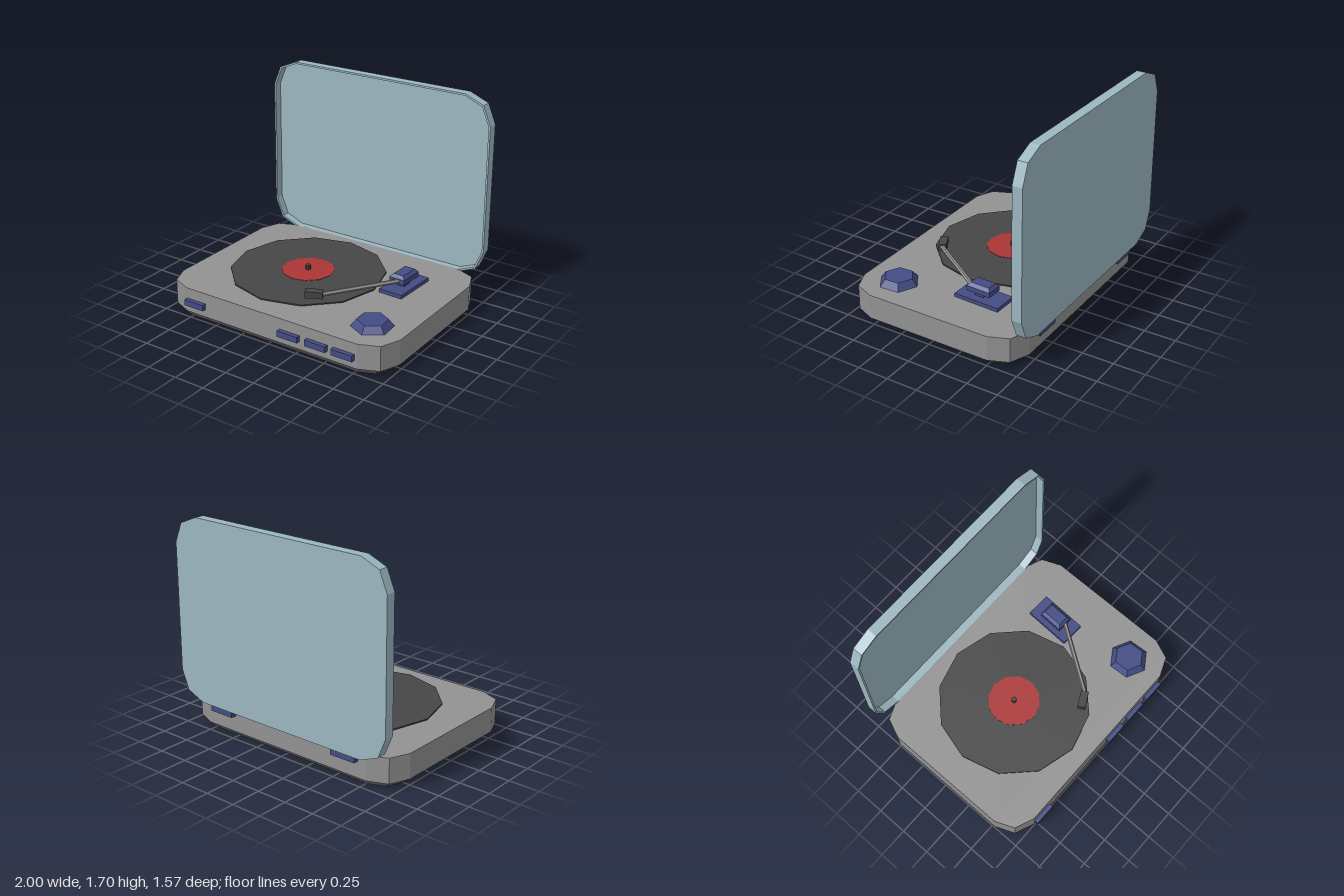
import * as THREE from 'three';

const mat = (name, color) => {
  const m = new THREE.MeshStandardMaterial({ color, flatShading: true });
  m.name = name;
  return m;
};

// Rectangle outline with two-facet corners
function outline(w, h, r) {
  const pts = [];
  const centres = [[1, 1], [-1, 1], [-1, -1], [1, -1]];
  centres.forEach(([sx, sy], i) => {
    for (let k = 0; k <= 2; k++) {
      const a = (i + k / 2) * Math.PI / 2;
      pts.push(new THREE.Vector2(sx * (w / 2 - r) + r * Math.cos(a), sy * (h / 2 - r) + r * Math.sin(a)));
    }
  });
  return pts;
}

const extrude = (shape, depth) => new THREE.ExtrudeGeometry(shape, { depth, bevelEnabled: false });

export function createModel() {
  const grey = mat('grey casing', 0x929292);
  const dark = mat('dark plastic', 0x464646);
  const blue = mat('blue controls', 0x434c84);
  const red = mat('red label', 0xab3535);
  const glass = mat('pale blue lid', 0x9cb7c1);

  const model = new THREE.Group();
  model.name = 'recordPlayer';
  const add = (name, geo, material, x, y, z, parent = model) => {
    const mesh = new THREE.Mesh(geo, material);
    mesh.name = name;
    mesh.position.set(x, y, z);
    parent.add(mesh);
    return mesh;
  };
  const box = (w, h, d) => new THREE.BoxGeometry(w, h, d);

  // Casing and the inset foot below it
  const slab = (w, d, r, h) => extrude(new THREE.Shape(outline(w, d, r)), h).rotateX(-Math.PI / 2);
  add('casing', slab(2, 1.47, 0.22, 0.2), grey, 0, 0.045, 0.015);
  add('foot', slab(1.89, 1.39, 0.18, 0.045), dark, 0, 0, 0.02);

  // Open lid: a back panel with a thin wall around it
  const lid = new THREE.Group();
  lid.name = 'lid';
  lid.position.set(0, 0.9625, -0.785);
  model.add(lid);
  const rim = new THREE.Shape(outline(2, 1.465, 0.22));
  rim.holes.push(new THREE.Path(outline(1.97, 1.435, 0.21)));
  add('lidWall', extrude(rim, 0.065), glass, 0, 0, 0.015, lid);
  add('lidPanel', extrude(new THREE.Shape(outline(2, 1.465, 0.22)), 0.015), glass, 0, 0, 0, lid);

  // Hinges
  for (const s of [-1, 1]) add('hinge', box(0.22, 0.05, 0.05), blue, s * 0.6, 0.202, -0.742);

  // Front buttons
  for (const x of [-0.685, 0.195, 0.44, 0.67]) add('button', box(0.18, 0.048, 0.04), blue, x, 0.134, 0.765);

  // Record, label and spindle
  const disc = (rTop, rBottom, h, n) => new THREE.CylinderGeometry(rTop, rBottom, h, n);
  add('record', disc(0.615, 0.615, 0.01, 12), dark, -0.165, 0.267, 0);
  add('label', disc(0.21, 0.21, 0.004, 12), red, -0.165, 0.273, 0);
  add('spindle', disc(0.021, 0.021, 0.068, 8), dark, -0.165, 0.278, 0);

  // Volume knob
  add('knob', disc(0.118, 0.16, 0.055, 6), blue, 0.725, 0.2725, 0.462).rotation.y = 0.064;

  // Tonearm mount: plate, neck and a head with a chamfered top
  const mount = new THREE.Group();
  mount.name = 'tonearmMount';
  mount.position.set(0.587, 0, -0.21);
  mount.rotation.y = -0.04;
  model.add(mount);
  add('mountPlate', box(0.2, 0.03, 0.385), blue, 0, 0.26, 0, mount);
  add('mountNeck', box(0.07, 0.05, 0.075), blue, 0, 0.295, 0.016, mount);
  add('mountHead', box(0.133, 0.04, 0.203), blue, 0, 0.334, 0.004, mount);
  const cap = box(0.133, 0.025, 0.203);
  const p = cap.attributes.position;
  for (let i = 0; i < p.count; i++) {
    if (p.getY(i) > 0) p.setXYZ(i, p.getX(i) * 0.64, p.getY(i), p.getZ(i) * 0.8);
  }
  add('mountCap', cap, blue, 0, 0.3665, 0.004, mount);

  // Tonearm and its headshell
  const from = new THREE.Vector3(0.6, 0.334, -0.12);
  const to = new THREE.Vector3(0.235, 0.334, 0.41);
  const mid = from.clone().lerp(to, 0.5);
  const arm = add('tonearm', disc(0.018, 0.018, from.distanceTo(to), 6), grey, mid.x, mid.y, mid.z);
  arm.quaternion.setFromUnitVectors(new THREE.Vector3(0, 1, 0), to.clone().sub(from).normalize());
  add('headshell', box(0.135, 0.053, 0.063), dark, 0.188, 0.333, 0.425).rotation.y = 0.49;

  return model;
}
